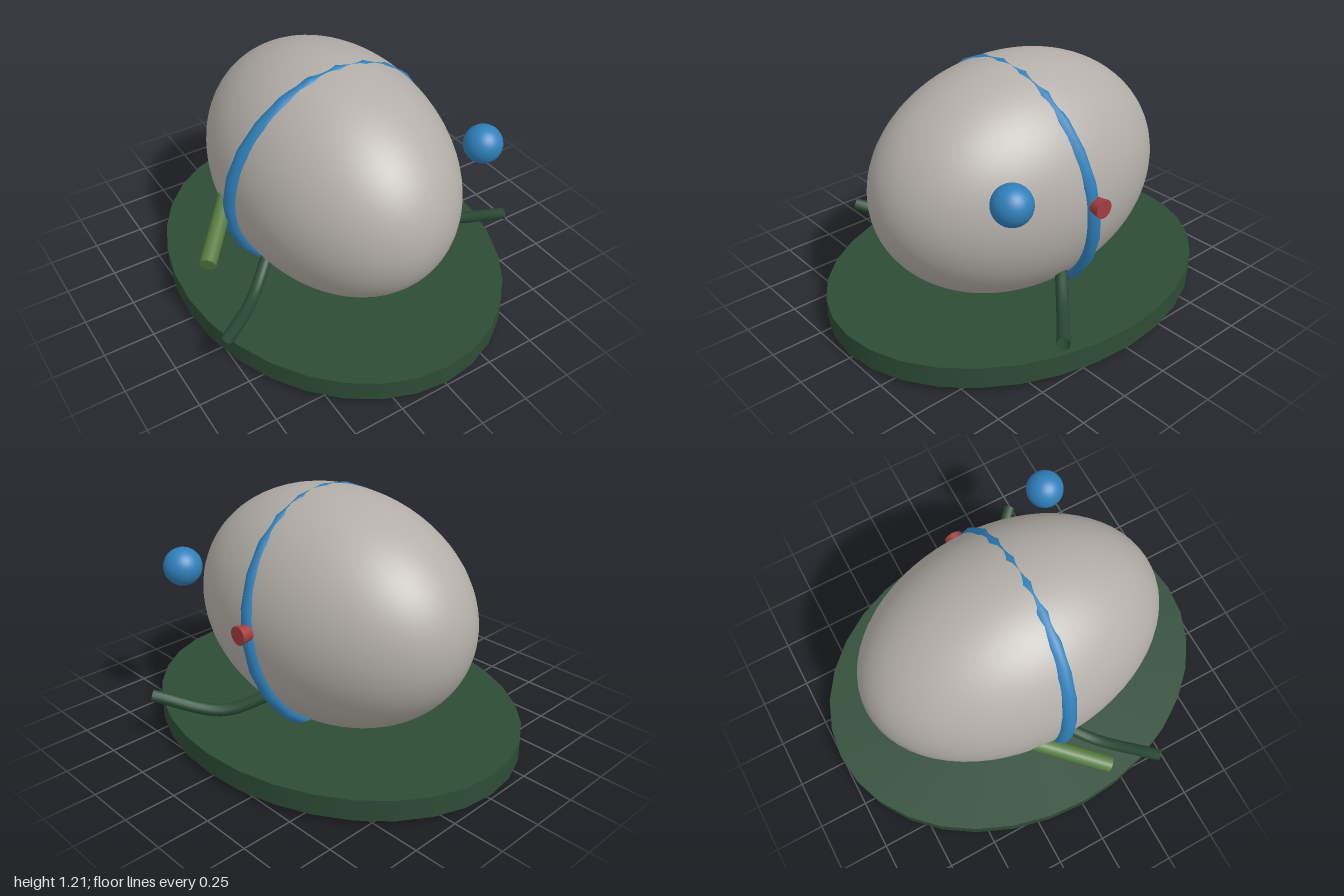
import * as THREE from 'three';

const paint = (name, color) => {
  const m = new THREE.MeshStandardMaterial({ color });
  m.name = name;
  return m;
};

export function createModel() {
  const group = new THREE.Group();
  const stone = paint('warm grey', 0xb3aea8);
  const leaf = paint('dark green', 0x2d4c35);
  const blue = paint('blue', 0x2f80ba);
  const red = paint('red', 0xa03e3e);
  const olive = paint('olive green', 0x567c40);
  const stem = paint('stem green', 0x294a34);
  stem.side = THREE.DoubleSide;

  const add = (name, geometry, material, x = 0, y = 0, z = 0) => {
    const mesh = new THREE.Mesh(geometry, material);
    mesh.name = name;
    mesh.position.set(x, y, z);
    group.add(mesh);
    return mesh;
  };

  // Oval base plate
  add('base', new THREE.CylinderGeometry(1, 1, 0.105, 32), leaf, 0, 0.083, 0).scale.set(0.8, 1, 1);

  // Egg-shaped body
  add('body', new THREE.SphereGeometry(1, 64, 40), stone, 0, 0.64, 0).scale.set(0.54, 0.58, 0.775);

  // Leaning band around the body
  const band = add('band', new THREE.TorusGeometry(0.57, 0.043, 10, 24), blue, -0.005, 0.615, 0);
  band.scale.set(0.932, 1, 1);
  band.rotation.x = 0.135;

  // Floating ball and side button
  add('ball', new THREE.SphereGeometry(0.093, 32, 20), blue, 0.535, 0.84, 0.485);
  const button = add('button', new THREE.CylinderGeometry(0.038, 0.046, 0.06, 24), red, 0.57, 0.665, 0);
  button.rotation.z = Math.PI / 2;

  // Straight rod on the right side
  const start = new THREE.Vector3(-0.48, 0.56, -0.155);
  const end = new THREE.Vector3(-0.745, 0.448, 0.145);
  const along = end.clone().sub(start);
  const rod = add('rod', new THREE.CylinderGeometry(0.04, 0.04, along.length(), 16), olive);
  rod.position.copy(start).lerp(end, 0.5);
  rod.quaternion.setFromUnitVectors(new THREE.Vector3(0, 1, 0), along.normalize());

  // Mirrored bent stems
  for (const s of [1, -1]) {
    const path = new THREE.CatmullRomCurve3([
      new THREE.Vector3(s * 0.38, 0.265, 0.04),
      new THREE.Vector3(s * 0.56, 0.18, 0.2),
      new THREE.Vector3(s * 0.8, 0.262, 0.43),
    ]);
    add(s > 0 ? 'leftStem' : 'rightStem', new THREE.TubeGeometry(path, 20, 0.03, 12), stem);
  }
  return group;
}
